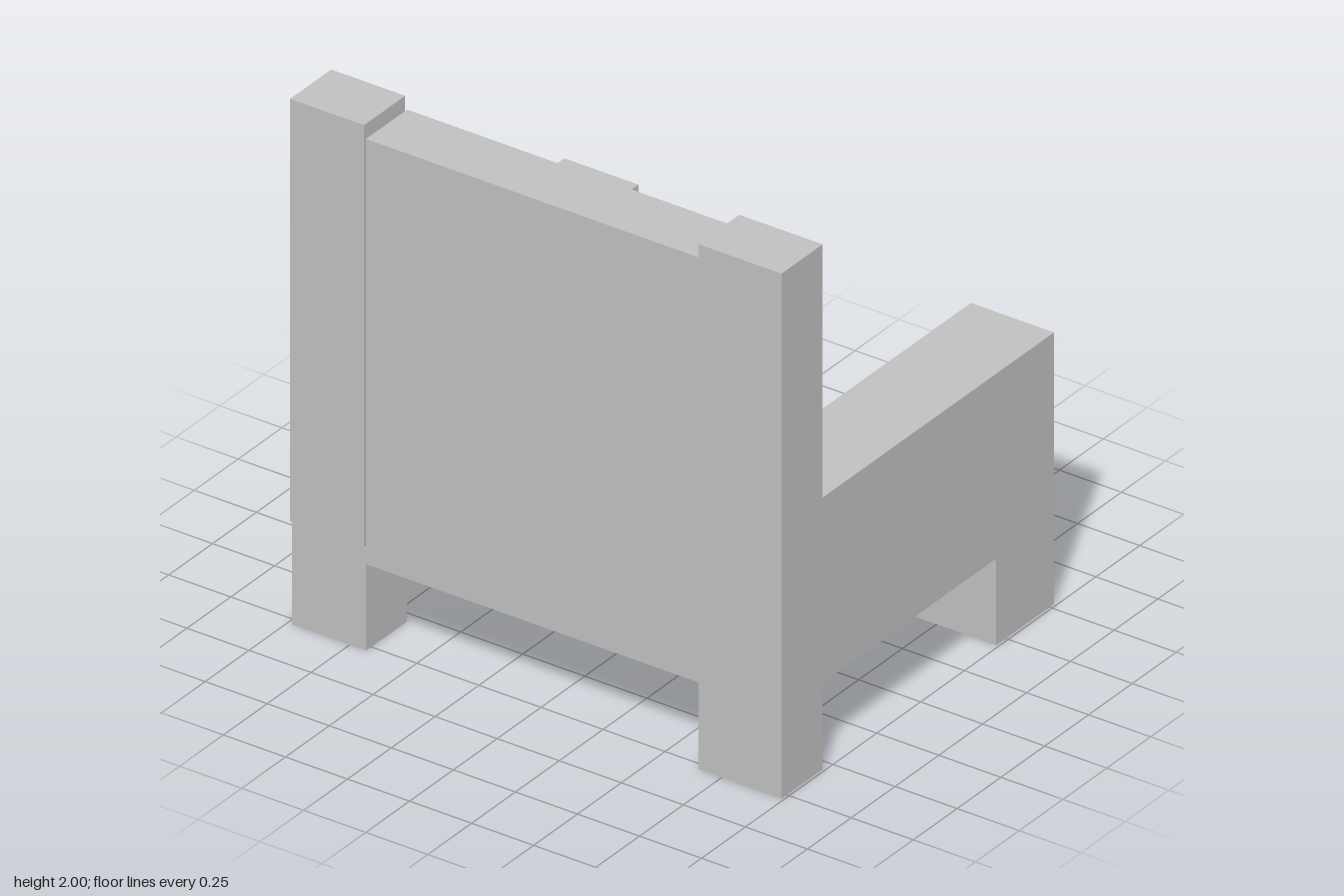
import * as THREE from 'three';

export function createModel() {
  const group = new THREE.Group();
  const grey = new THREE.MeshStandardMaterial({ color: 0xc0c0c0 });
  grey.name = 'plain grey';

  // Shared x and y levels
  const back = -0.78, backFront = -0.545, legInner = 0.445, front = 0.775;
  const seatBottom = 0.33, seatTop = 0.39, armTop = 1.035;

  function add(name, geometry) {
    const mesh = new THREE.Mesh(geometry, grey);
    mesh.name = name;
    group.add(mesh);
  }

  // Box given by its limits on each axis
  function box(name, x0, x1, y0, y1, z0, z1) {
    const g = new THREE.BoxGeometry(x1 - x0, y1 - y0, z1 - z0);
    g.translate((x0 + x1) / 2, (y0 + y1) / 2, (z0 + z1) / 2);
    add(name, g);
  }

  // Side slab with two legs; postTop is the height of its rear strip
  function side(name, postTop, z0, z1) {
    const points = [
      [back, 0], [backFront, 0], [backFront, seatBottom], [legInner, seatBottom],
      [legInner, 0], [front, 0], [front, armTop], [backFront, armTop],
      [backFront, postTop], [back, postTop],
    ].map(([x, y]) => new THREE.Vector2(x, y));
    const g = new THREE.ExtrudeGeometry(new THREE.Shape(points), { depth: z1 - z0, bevelEnabled: false });
    g.translate(0, 0, z0);
    add(name, g);
  }

  // Arms with their legs and back posts; the far post is a separate block
  side('nearArmAndPost', 2, 0.655, 0.99);
  side('farArm', seatTop, -0.983, -0.684);
  box('farPost', back, backFront, seatTop, 2, -0.99, -0.692);

  // Seat board and backrest between the arms
  box('seat', backFront, front, seatBottom, seatTop, -0.684, 0.655);
  box('backrest', back, backFront, seatBottom, 1.95, -0.684, 0.655);

  return group;
}
